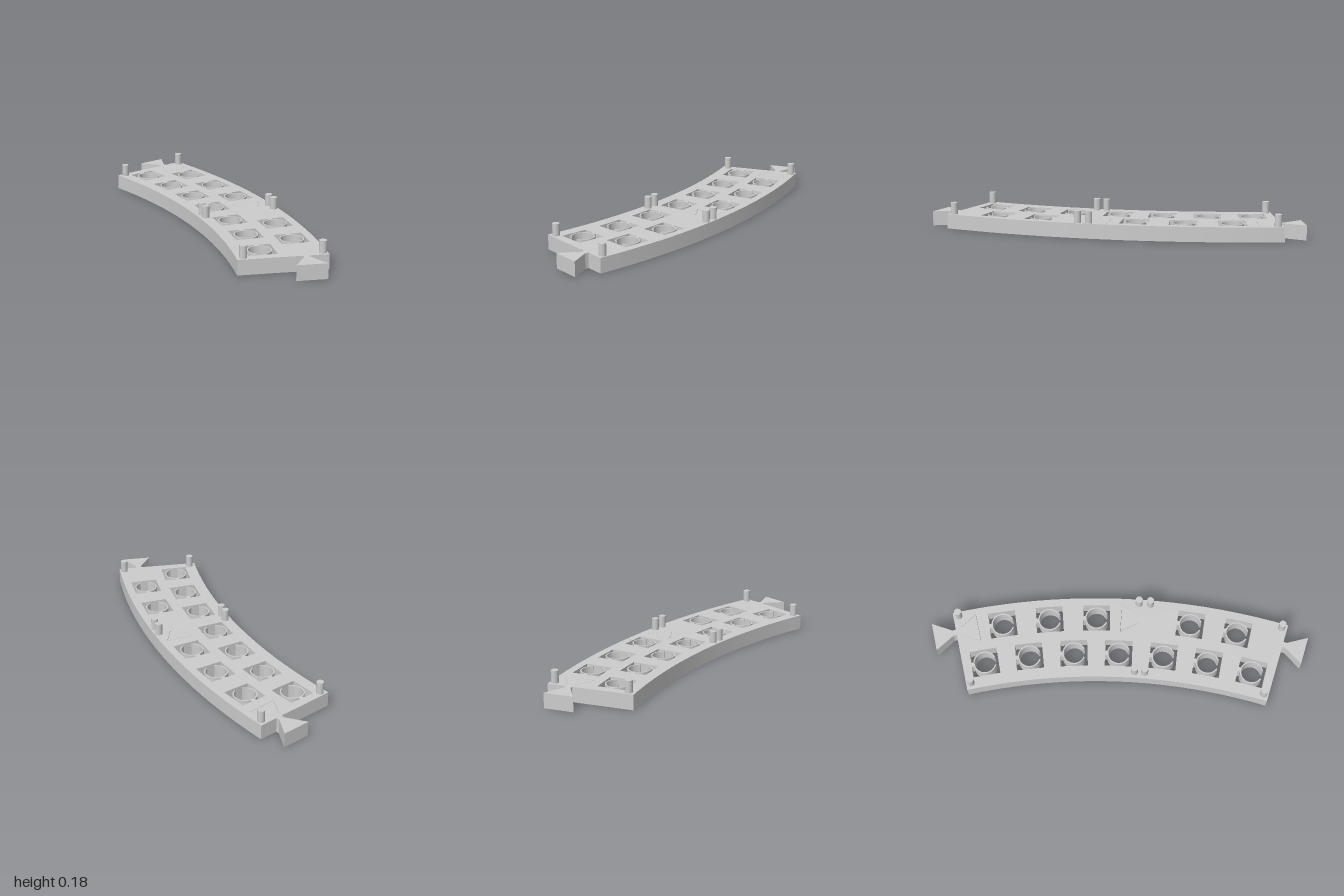
import * as THREE from 'three';
import { toCreasedNormals } from 'three/addons/utils/BufferGeometryUtils.js';

const DEG = Math.PI / 180;
const CX = -2.81, CY = -3.025;            // centre of the curve (plan coordinates, y = -z)
const R_IN = 3.888, R_OUT = 4.458;        // plate edges
const ROW_IN = 4.058, ROW_OUT = 4.312;    // window rows
const A0 = 62.3, STEP = 30 / 7, A1 = A0 - 30;
const JOINT = A0 - 4 * STEP;              // joint between the two segments
const HEIGHT = 0.1;

// point at angle a and radius r, moved outward by u and clockwise along the curve by s
function at(a, r, u = 0, s = 0) {
  const c = Math.cos(a * DEG), n = Math.sin(a * DEG);
  return new THREE.Vector2(CX + (r + u) * c + s * n, CY + (r + u) * n - s * c);
}

// outlines run counterclockwise so that hole walls face into the holes
function extrudeUp(shape) {
  const geo = new THREE.ExtrudeGeometry(shape, { depth: HEIGHT, bevelEnabled: false, curveSegments: 12 });
  geo.rotateX(-Math.PI / 2);
  return toCreasedNormals(geo, 0.4);
}

// dovetail with a short straight neck, d = +1 or -1 for the direction along the curve
const dovetail = (a, d) =>
  [[0.02, 0], [0.02, 0.024], [0.098, 0.153], [-0.098, 0.153], [-0.02, 0.024], [-0.02, 0]]
    .map(([u, s]) => at(a, ROW_OUT, u, s * d));

function arc(r, from, to, n = 20) {
  return Array.from({ length: n + 1 }, (_, i) => at(from + (to - from) * i / n, r));
}

// square window with a small tab on one side that carries the clip
function windowHole(a, r) {
  const h = 0.092, t = 0.015;
  return new THREE.Path([[h, -h], [h, h], [-h, h], [-h, -h], [-t, -h], [-t, -0.074], [t, -0.074], [t, -h]]
    .map(([u, s]) => at(a, r, u, s)));
}

// hairline gap around a fitted dovetail
function socketGap(a, d) {
  const e = 0.002;
  return new THREE.Path([
    [0.025, 0.028], [0.1, 0.155], [-0.1, 0.155], [-0.025, 0.028],
    [-0.025 + e, 0.028], [-0.1 + 2 * e, 0.155 - e], [0.1 - 2 * e, 0.155 - e], [0.025 - e, 0.028],
  ].map(([u, s]) => at(a, ROW_OUT, u, s * d)));
}

export function createModel() {
  const model = new THREE.Group();
  model.name = 'curvedTrackPlate';
  const grey = new THREE.MeshStandardMaterial({ color: 0xcccccc });
  grey.name = 'grey';

  const add = (geo, name) => {
    const mesh = new THREE.Mesh(geo, grey);
    mesh.name = name;
    model.add(mesh);
    return mesh;
  };

  // window positions: seven inside, five outside
  const windows = [];
  for (let i = 0; i < 7; i++) windows.push([A0 - (i + 0.5) * STEP, ROW_IN]);
  for (const i of [1, 2, 3, 5, 6]) windows.push([A0 - i * STEP, ROW_OUT]);

  // plate with a dovetail on each end
  const plate = new THREE.Shape([
    ...arc(R_OUT, A1, A0), ...dovetail(A0, -1),
    ...arc(R_IN, A0, A1), ...dovetail(A1, 1).reverse(),
  ]);
  for (const [a, r] of windows) plate.holes.push(windowHole(a, r));
  plate.holes.push(socketGap(A0, 1), socketGap(JOINT, -1));
  add(extrudeUp(plate), 'plate');

  // open round clip in each window
  const gap = 0.4;
  const ring = new THREE.Shape();
  ring.absarc(0, 0, 0.079, gap, 2 * Math.PI - gap, false);
  ring.absarc(0, 0, 0.07, 2 * Math.PI - gap, gap, true);
  ring.closePath();
  const ringGeo = extrudeUp(ring);
  for (const [a, r] of windows) {
    const p = at(a, r);
    const clip = add(ringGeo, 'roundClip');
    clip.position.set(p.x, 0, -p.y);
    clip.rotation.y = (a - 90) * DEG;     // opening faces along the curve
  }

  // pins at every segment corner
  const pinGeo = new THREE.CylinderGeometry(0.024, 0.024, 0.09, 20);
  for (const a of [A0 - 0.5, JOINT + 0.5, JOINT - 0.5, A1 + 0.5]) {
    for (const r of [3.931, 4.426]) {
      const p = at(a, r);
      add(pinGeo, 'pin').position.set(p.x, HEIGHT + 0.035, -p.y);
    }
  }
  return model;
}
